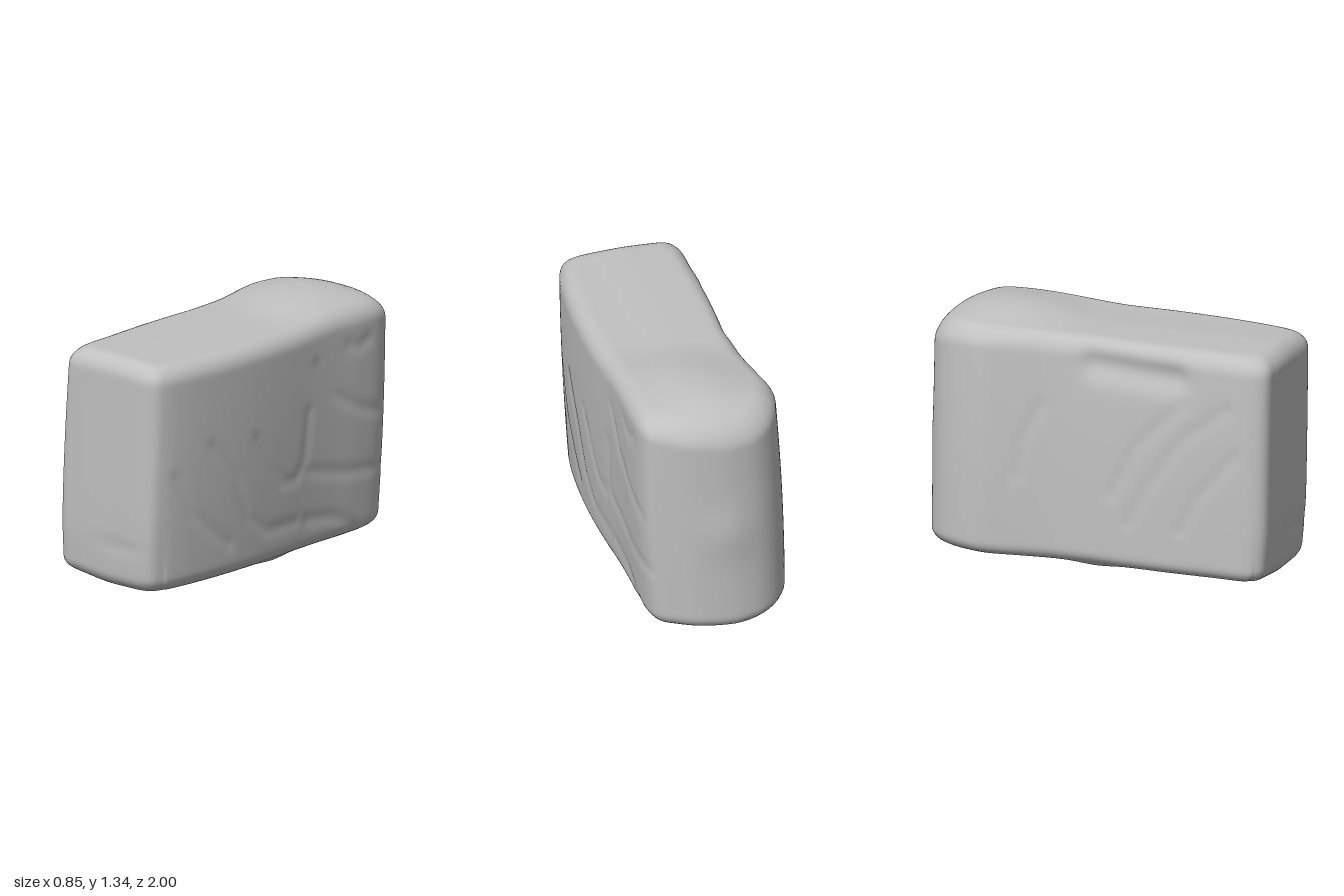
import * as THREE from 'three';

const stone = new THREE.MeshStandardMaterial({ color: 0xc0c0c0 });
stone.name = 'stoneGrey';

const AROUND = 260, H = 1.29, HALF = 0.4;

// plan outline, counter-clockwise seen from above, [x, z]
const plan = [
  [-0.38, 0.9], [-0.345, 0.96], [-0.25, 0.978], [0, 0.993], [0.2, 0.997], [0.255, 0.975], [0.285, 0.92],
  [0.318, 0.8], [0.35, 0.6], [0.37, 0.4], [0.38, 0.2], [0.382, 0], [0.38, -0.2], [0.385, -0.4],
  [0.395, -0.6], [0.39, -0.76], [0.365, -0.835], [0.28, -0.895], [0.18, -0.945], [0.06, -0.975],
  [-0.06, -0.985], [-0.19, -0.96], [-0.28, -0.9], [-0.345, -0.81], [-0.385, -0.7], [-0.397, -0.62],
  [-0.375, -0.45], [-0.35, -0.25], [-0.35, -0.05], [-0.365, 0.15], [-0.38, 0.4], [-0.382, 0.7],
];

// shallow grooves on the sides, each a path of [z, y]
const rightGrooves = [
  [[0.6, 0.78], [0.42, 0.56], [0.3, 0.32], [0.15, 0.21], [-0.1, 0.2]],
  [[0.26, 0.75], [0.12, 0.55], [0.03, 0.45], [-0.08, 0.44], [-0.15, 0.52], [-0.18, 0.8]],
  [[-0.24, 1.05], [-0.38, 0.85], [-0.6, 0.73], [-0.75, 0.68]],
  [[-0.2, 0.46], [-0.5, 0.39], [-0.8, 0.36]],
  [[-0.2, 0.19], [-0.42, 0.16], [-0.6, 0.07]],
  [[0.85, 0.65], [0.72, 0.42], [0.45, 0.2]],
  [[-0.5, 1.1], [-0.58, 1.07], [-0.66, 1.1]],
];
const leftGrooves = [
  [[0.75, 1.0], [0.5, 0.8], [0.3, 0.5], [0.2, 0.3]],
  [[0.5, 1.0], [0.25, 0.75], [0.1, 0.45]],
  [[0.8, 0.75], [0.6, 0.5], [0.5, 0.3]],
  [[-0.3, 0.9], [-0.4, 0.7], [-0.42, 0.5]],
];

function pathDistance(path, z, y) {
  let best = Infinity;
  for (let i = 1; i < path.length; i++) {
    const [az, ay] = path[i - 1], dz = path[i][0] - az, dy = path[i][1] - ay;
    const u = THREE.MathUtils.clamp(((z - az) * dz + (y - ay) * dy) / (dz * dz + dy * dy), 0, 1);
    best = Math.min(best, Math.hypot(z - az - u * dz, y - ay - u * dy));
  }
  return best;
}
const bell = (d, w) => Math.exp(-((d / w) ** 2));

// height of the top: level in front, a round dome at the back
function topHeight(x, z) {
  const dome = 1 - THREE.MathUtils.smoothstep(Math.hypot(x * 1.2, z + 0.58), 0.03, 0.5);
  const fall = Math.max(0, -z - 0.7);
  const tilt = THREE.MathUtils.smoothstep(z, -0.4, 0);
  return H + 0.05 * dome - 0.9 * fall * fall - 0.02 * tilt * THREE.MathUtils.smoothstep(x, -0.1, 0.3);
}

// rings from the middle of the base over the wall to the middle of the top: [inset, height]
function ringProfile() {
  const rings = [], R = 0.085, T = 0.1;
  for (let i = 0; i < 8; i++) rings.push([HALF + (R - HALF) * i / 8, 0.012]);
  for (let i = 0; i <= 7; i++) {
    const a = i / 7 * Math.PI / 2;
    rings.push([R * (1 - Math.sin(a)), 0.012 + R * (1 - Math.cos(a))]);
  }
  const y0 = 0.012 + R, y1 = H - T;
  for (let i = 1; i < 46; i++) rings.push([0, y0 + (y1 - y0) * i / 46]);
  for (let i = 0; i <= 8; i++) {
    const a = i / 8 * Math.PI / 2;
    rings.push([T * (1 - Math.cos(a)), y1 + T * Math.sin(a)]);
  }
  for (let i = 1; i <= 12; i++) rings.push([T + (HALF - T) * i / 12, H]);
  return rings;
}

function blockGeometry() {
  const curve = new THREE.CatmullRomCurve3(plan.map(([x, z]) => new THREE.Vector3(x, 0, z)), true, 'centripetal');
  const outline = curve.getSpacedPoints(AROUND).slice(0, AROUND);
  const rings = ringProfile(), pos = [], index = [];
  for (const [inset, h] of rings) {
    // the walls swell slightly at half height
    const swell = 1 + 0.035 * Math.sin(Math.PI * h / H);
    for (const p of outline) {
      let x = p.x * (1 - inset / HALF) * swell, z = p.z * (1 - inset);
      let y = h * topHeight(x, z) / H;
      // worn grooves and the hollow below the top left edge
      if (inset < 0.05 && Math.abs(p.x) > 0.3) {
        const side = Math.sign(p.x);
        for (const g of side > 0 ? rightGrooves : leftGrooves) x -= side * 0.006 * bell(pathDistance(g, z, y), 0.035);
      }
      if (p.x < -0.3) x += 0.035 * bell(pathDistance([[0, 1.16], [0.45, 1.14]], z, y), 0.08) * (1 - inset / HALF);
      // shallow dent low on the front, slight swell on the back
      if (p.z > 0.9) z -= 0.006 * bell(Math.hypot((x - 0.06) / 4, y - 0.25), 0.04) + 0.02 * bell(y, 0.22);
      if (p.z < -0.9) z -= 0.014 * bell(y - 0.6, 0.15) * bell(x, 0.15);
      // base rises a little along its left edge; whole block leans
      if (h < 0.3) y += 0.03 * THREE.MathUtils.smoothstep(-x, 0, 0.35) * (1 - h / 0.3);
      if (h < 0.02) y -= 0.012 * bell(z, 0.12);
      pos.push(x + 0.045 * (y - 0.65), y, z);
    }
  }
  for (let j = 0; j < rings.length - 1; j++) {
    for (let i = 0; i < AROUND; i++) {
      const n = (i + 1) % AROUND, a = j * AROUND + i, b = j * AROUND + n;
      index.push(a, b, a + AROUND, b, b + AROUND, a + AROUND);
    }
  }
  const geo = new THREE.BufferGeometry();
  geo.setAttribute('position', new THREE.Float32BufferAttribute(pos, 3));
  geo.setIndex(index);
  geo.computeVertexNormals();
  return geo;
}

export function createModel() {
  const group = new THREE.Group();
  group.name = 'wornBlock';
  const block = new THREE.Mesh(blockGeometry(), stone);
  block.name = 'blockBody';
  group.add(block);
  return group;
}
